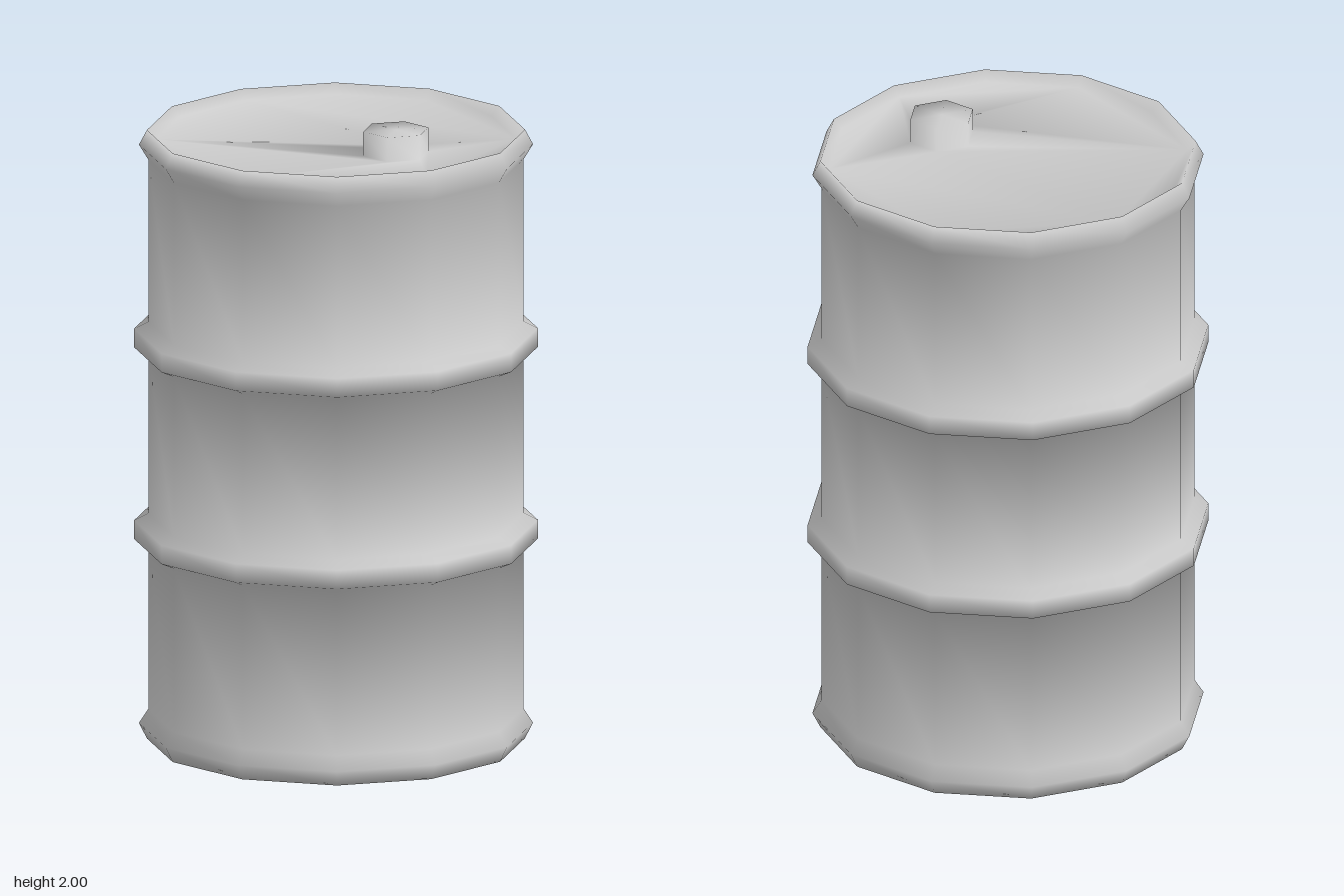
import * as THREE from 'three';
import { mergeGeometries, mergeVertices } from 'three/addons/utils/BufferGeometryUtils.js';

const SIDES = 12;
const BODY_R = 0.583, BAND_R = 0.627, RIM_R = 0.587, INNER_R = 0.56;
const LID_Y = 1.922, BASE_Y = 0.03;
const CAP_R = 0.105, CAP_POS = 0.185;

const lathe = (points, sides, start = 0) =>
  new THREE.LatheGeometry(points.map(([r, y]) => new THREE.Vector2(r, y)), sides, start);

// Points of a regular polygon in plan, with shape y = -z
const ring = (radius, sides, start = 0, cx = 0, cy = 0) =>
  Array.from({ length: sides }, (_, i) => {
    const a = start + (i / sides) * Math.PI * 2;
    return new THREE.Vector2(cx + radius * Math.cos(a), cy + radius * Math.sin(a));
  });

// Side wall profile with two raised hoops and a flared rim at each end
function shellGeometry() {
  const hoop = (y) => [
    [BODY_R, y - 0.05], [BAND_R, y - 0.03], [BAND_R, y + 0.03], [BODY_R, y + 0.052],
  ];
  return lathe([
    [INNER_R, BASE_Y], [RIM_R, 0], [0.612, 0.05], [BODY_R, 0.095],
    ...hoop(0.67),
    ...hoop(1.285),
    [BODY_R, 1.857], [0.612, 1.905], [RIM_R, 1.952], [INNER_R, LID_Y],
  ], SIDES);
}

// Shallow recessed lid with an opening for the filler cap
function lidGeometry() {
  const shape = new THREE.Shape(ring(INNER_R, SIDES));
  shape.holes.push(new THREE.Path(ring(CAP_R, 6, -Math.PI / 4, CAP_POS, -CAP_POS)));
  return new THREE.ShapeGeometry(shape).rotateX(-Math.PI / 2).translate(0, LID_Y, 0);
}

// Recessed underside
function baseGeometry() {
  return new THREE.ShapeGeometry(new THREE.Shape(ring(INNER_R, SIDES)))
    .rotateX(Math.PI / 2).translate(0, BASE_Y, 0);
}

// Smooth normals in which every face counts equally, whatever its area
function softNormals(geometry) {
  const index = geometry.index.array;
  const position = geometry.getAttribute('position');
  const sums = Array.from({ length: position.count }, () => new THREE.Vector3());
  const triangle = new THREE.Triangle();
  const normal = new THREE.Vector3();
  for (let i = 0; i < index.length; i += 3) {
    triangle.setFromAttributeAndIndices(position, index[i], index[i + 1], index[i + 2]);
    triangle.getNormal(normal);
    for (let k = 0; k < 3; k++) sums[index[i + k]].add(normal);
  }
  return Array.from(index).flatMap((v) => sums[v].clone().normalize().toArray());
}

export function createModel() {
  const parts = {
    shell: shellGeometry(),
    lid: lidGeometry(),
    fillerCap: lathe([[CAP_R, LID_Y], [CAP_R, 2], [0, 2]], 6, Math.PI / 4)
      .translate(CAP_POS, 0, CAP_POS),
    base: baseGeometry(),
  };

  // Weld the parts so the smooth shading runs across their joints
  const pieces = Object.values(parts).map((g) => {
    const piece = g.toNonIndexed();
    piece.deleteAttribute('uv');
    piece.deleteAttribute('normal');
    return piece;
  });
  const normals = softNormals(mergeVertices(mergeGeometries(pieces), 1e-4));

  // Hand each part its share of the welded normals
  const group = new THREE.Group();
  group.name = 'drum';
  const material = new THREE.MeshStandardMaterial({ color: 0xcccccc });
  let offset = 0;
  Object.keys(parts).forEach((name, i) => {
    const length = pieces[i].getAttribute('position').count * 3;
    const share = normals.slice(offset, offset + length);
    pieces[i].setAttribute('normal', new THREE.Float32BufferAttribute(share, 3));
    offset += length;
    const mesh = new THREE.Mesh(pieces[i], material);
    mesh.name = name;
    group.add(mesh);
  });
  return group;
}
